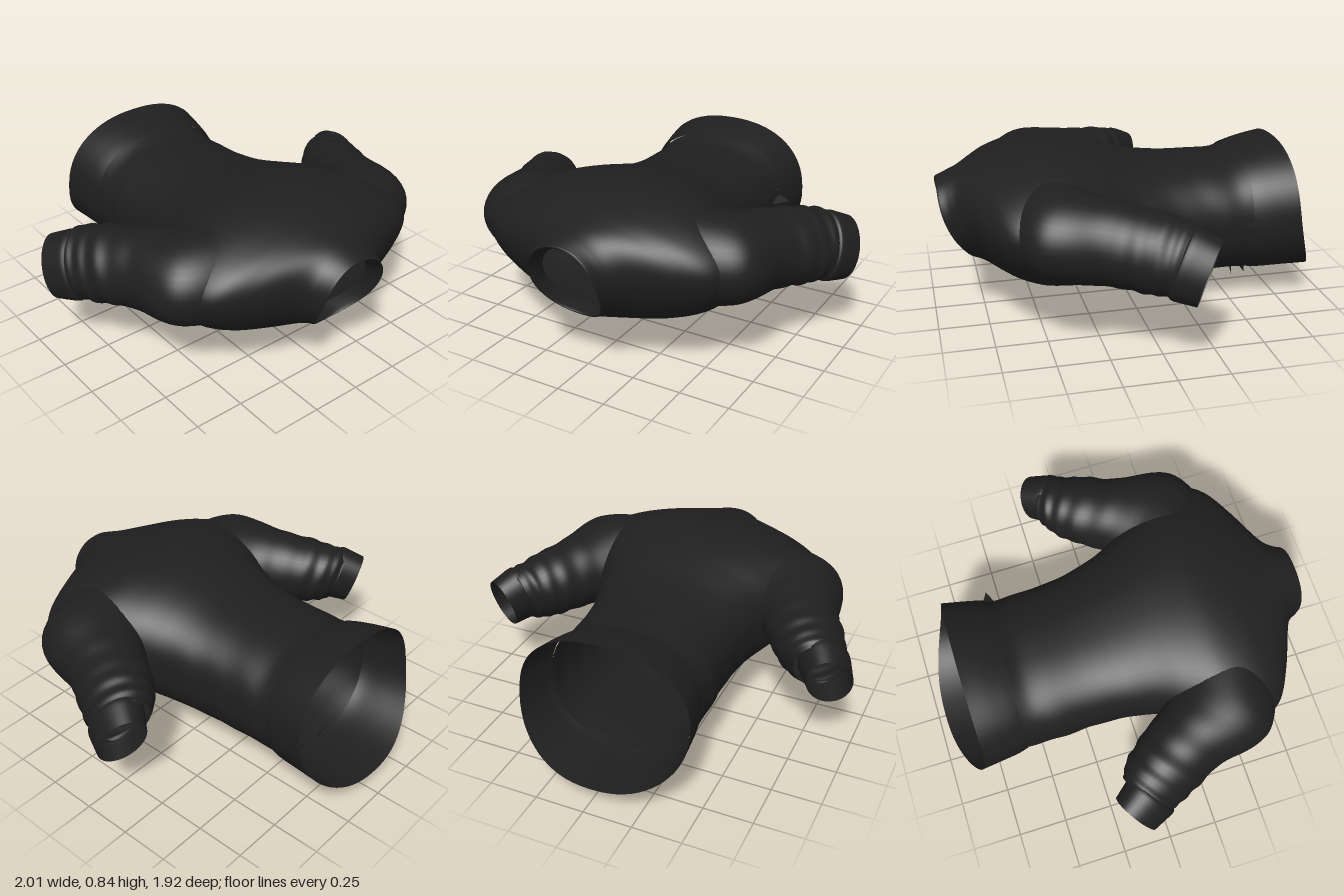
import * as THREE from 'three';

const fabric = new THREE.MeshStandardMaterial({ color: 0x1f1f1f, side: THREE.DoubleSide });
fabric.name = 'black fabric';

// Open tube through `steps` rings; point(v, a) gives the surface for v in 0..1 and angle a
function loft(name, steps, sides, point) {
  const pos = [], idx = [];
  for (let i = 0; i <= steps; i++) {
    for (let j = 0; j < sides; j++) pos.push(...point(i / steps, (j / sides) * Math.PI * 2));
  }
  for (let i = 0; i < steps; i++) {
    for (let j = 0; j < sides; j++) {
      const k = (j + 1) % sides, p = i * sides, q = p + sides;
      idx.push(p + j, q + j, p + k, p + k, q + j, q + k);
    }
  }
  const g = new THREE.BufferGeometry();
  g.setAttribute('position', new THREE.Float32BufferAttribute(pos, 3));
  g.setIndex(idx);
  g.computeVertexNormals();
  const mesh = new THREE.Mesh(g, fabric);
  mesh.name = name;
  return mesh;
}

// Smooth interpolation of rows of numbers
function sample(rows, v) {
  const f = v * (rows.length - 1), i = Math.min(Math.floor(f), rows.length - 2), t = f - i;
  const at = (k) => rows[Math.max(0, Math.min(rows.length - 1, k))];
  return rows[0].map((_, c) => {
    const a = at(i - 1)[c], b = at(i)[c], d = at(i + 1)[c], e = at(i + 2)[c];
    return b + 0.5 * t * (d - a + t * (2 * a - 5 * b + 4 * d - e + t * (3 * (b - d) + e - a)));
  });
}
const power = (x, p) => Math.sign(x) * Math.abs(x) ** p;
const clamp = (x) => Math.max(0, Math.min(1, x));

// Torso sections: z at top, z at bottom, y top, y bottom, half width, height of widest point,
// roundness (below 1 is boxier, above 1 is more pointed at the sides)
const torsoRows = [
  [0.955, 0.78, 0.70, 0.28, 0.185, 0.50, 0.92],
  [0.91, 0.74, 0.72, 0.265, 0.21, 0.50, 0.95],
  [0.855, 0.70, 0.74, 0.245, 0.275, 0.52, 1.0],
  [0.77, 0.64, 0.768, 0.225, 0.475, 0.54, 1.06],
  [0.68, 0.57, 0.797, 0.20, 0.615, 0.55, 1.06],
  [0.55, 0.48, 0.83, 0.175, 0.665, 0.55, 1.0],
  [0.40, 0.38, 0.845, 0.155, 0.62, 0.55, 0.93],
  [0.24, 0.24, 0.825, 0.13, 0.53, 0.53, 0.9],
  [0.10, 0.10, 0.79, 0.118, 0.455, 0.50, 0.87],
  [-0.05, -0.05, 0.75, 0.113, 0.41, 0.47, 0.85],
  [-0.22, -0.22, 0.73, 0.115, 0.388, 0.44, 0.85],
  [-0.38, -0.38, 0.725, 0.12, 0.388, 0.43, 0.86],
  [-0.50, -0.51, 0.725, 0.12, 0.385, 0.43, 0.87],
  [-0.58, -0.61, 0.75, 0.115, 0.385, 0.43, 0.87],
];
// Waistband sections in the same layout
const hemRows = [
  [-0.57, -0.60, 0.75, 0.115, 0.39, 0.44, 0.87],
  [-0.62, -0.67, 0.765, 0.11, 0.405, 0.44, 0.87],
  [-0.70, -0.80, 0.785, 0.11, 0.42, 0.45, 0.88],
  [-0.79, -0.955, 0.80, 0.11, 0.435, 0.46, 0.88],
];
// Facing turned inward at the neck
const collarRows = [
  [0.955, 0.78, 0.70, 0.28, 0.185, 0.50, 0.92],
  [0.958, 0.782, 0.69, 0.29, 0.18, 0.50, 0.92],
  [0.91, 0.74, 0.665, 0.295, 0.175, 0.49, 0.92],
  [0.85, 0.70, 0.65, 0.30, 0.18, 0.48, 0.92],
];
const body = (rows, wrinkle, slant) => (v, a) => {
  const [zt, zb, yt, yb, hw, ym, e] = sample(rows, v);
  const c = power(Math.cos(a), e);
  const y = c > 0 ? ym + (yt - ym) * c : ym + (ym - yb) * c;
  const t = (yt - y) / (yt - yb);
  const z = zt + (zb - zt) * t ** slant;
  const fold = 1 + wrinkle * Math.sin(z * 34 + a * 3) * clamp(0.3 - z) * Math.abs(Math.sin(a));
  return [hw * power(Math.sin(a), e) * fold - 0.02 * clamp(0.2 - z * 2), y, z];
};

// Sleeve rings: centre x, y, z, heading (radians turned from sideways to back), half width, half height
const sleeveRows = [
  [0.42, 0.55, 0.45, 0.2, 0.23, 0.225],
  [0.55, 0.55, 0.385, 0.8, 0.262, 0.213],
  [0.635, 0.53, 0.20, 1.08, 0.198, 0.195],
  [0.725, 0.51, 0.05, 1.08, 0.182, 0.183],
  [0.79, 0.495, -0.05, 1.08, 0.16, 0.17],
  [0.84, 0.485, -0.10, 1.08, 0.138, 0.148],
];
const cuffRows = [
  [0.835, 0.492, -0.055, 1.08, 0.118, 0.15],
  [0.842, 0.49, -0.068, 1.08, 0.13, 0.162],
  [0.872, 0.473, -0.118, 1.08, 0.123, 0.156],
  [0.902, 0.456, -0.168, 1.07, 0.115, 0.148],
];
const arm = (rows, side, wrinkle) => (v, a) => {
  const [x, y, z, h, w, ht] = sample(rows, v);
  const fade = clamp((v - 0.25) * 2.5);
  const r = 1 + wrinkle * fade * (Math.sin(v * 46 + 2.2 * Math.sin(a + side)) + 0.6 * Math.sin(v * 27 - 3 * Math.cos(a)));
  const out = Math.sin(a) * w * r, up = Math.cos(a) * ht * r;
  const lean = -0.36 * up * clamp((x - 0.6) * 4);
  return [side * (x + Math.sin(h) * out), y + up, z + Math.cos(h) * out + lean];
};

// Small loose point of cloth
function flap(name, ...corners) {
  const g = new THREE.BufferGeometry();
  g.setAttribute('position', new THREE.Float32BufferAttribute(corners.flat(), 3));
  g.computeVertexNormals();
  const mesh = new THREE.Mesh(g, fabric);
  mesh.name = name;
  return mesh;
}

export function createModel() {
  const group = new THREE.Group();
  group.name = 'shirt';
  group.add(
    loft('torso', 80, 72, body(torsoRows, 0.008, 2.2)),
    loft('waistband', 16, 72, body(hemRows, 0, 3.2)),
    loft('collarFacing', 10, 48, body(collarRows, 0, 2.2)),
  );
  for (const [label, side] of [['left', 1], ['right', -1]]) {
    group.add(
      loft(label + 'Sleeve', 72, 40, arm(sleeveRows, side, 0.018)),
      loft(label + 'Cuff', 10, 40, arm(cuffRows, side, 0)),
    );
  }
  // Loose cloth tips along the waist seam
  group.add(
    flap('lowerSeamTip', [-0.10, 0.13, -0.59], [-0.04, 0, -0.61], [-0.03, 0.13, -0.60]),
    flap('lowerSeamSideTip', [0.05, 0.13, -0.59], [0.15, 0.10, -0.61], [0.17, 0.15, -0.60]),
    flap('sideSeamTip', [0.36, 0.48, -0.60], [0.44, 0.46, -0.56], [0.36, 0.44, -0.52]),
  );
  return group;
}
